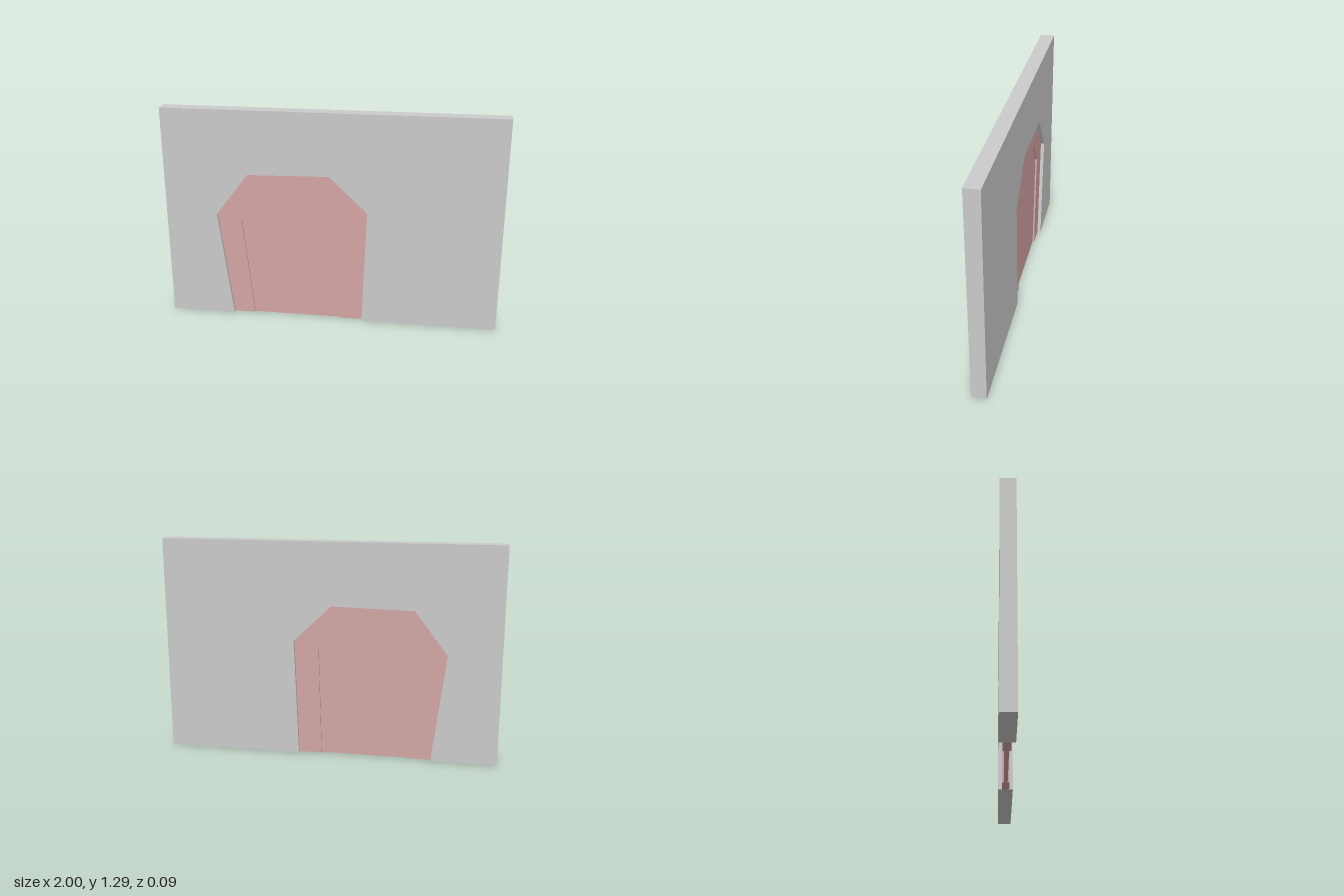
import * as THREE from 'three';

// Outlines of the doorway and the door, from the left foot over the top to the right foot
const OPENING = [[-0.61, 0], [-0.69, 0.655], [-0.495, 0.91], [-0.01, 0.92], [0.215, 0.705], [0.19, 0]];
const DOOR = [[-0.483, 0], [-0.544, 0.613], [-0.428, 0.77], [-0.065, 0.78], [0.07, 0.65], [0.053, 0]];

const WALL_DEPTH = 0.086;
const HEIGHT = 1.295;

// Extrudes an outline into a slab centred on z = 0
function slab(name, points, depth, color) {
  const shape = new THREE.Shape(points.map(([x, y]) => new THREE.Vector2(x, y)));
  const geometry = new THREE.ExtrudeGeometry(shape, { depth, bevelEnabled: false });
  geometry.translate(0, 0, -depth / 2);
  const mesh = new THREE.Mesh(geometry, new THREE.MeshStandardMaterial({ color }));
  mesh.name = name;
  return mesh;
}

export function createModel() {
  const group = new THREE.Group();
  group.name = 'wallWithDoor';

  // Wall: a rectangle notched from the ground by the doorway
  const wall = [[-1, 0], ...OPENING, [1, 0], [1, HEIGHT], [-1, HEIGHT]];
  group.add(slab('wall', wall, WALL_DEPTH, 0xcccccc));

  // Door frame: the band between the two outlines, recessed on both sides
  const frame = [...OPENING, ...[...DOOR].reverse()];
  group.add(slab('doorFrame', frame, WALL_DEPTH * 0.5, 0xd4a5a5));

  // Door panel: recessed further inside the frame
  group.add(slab('doorPanel', DOOR, WALL_DEPTH * 0.25, 0xd4a5a5));

  return group;
}
